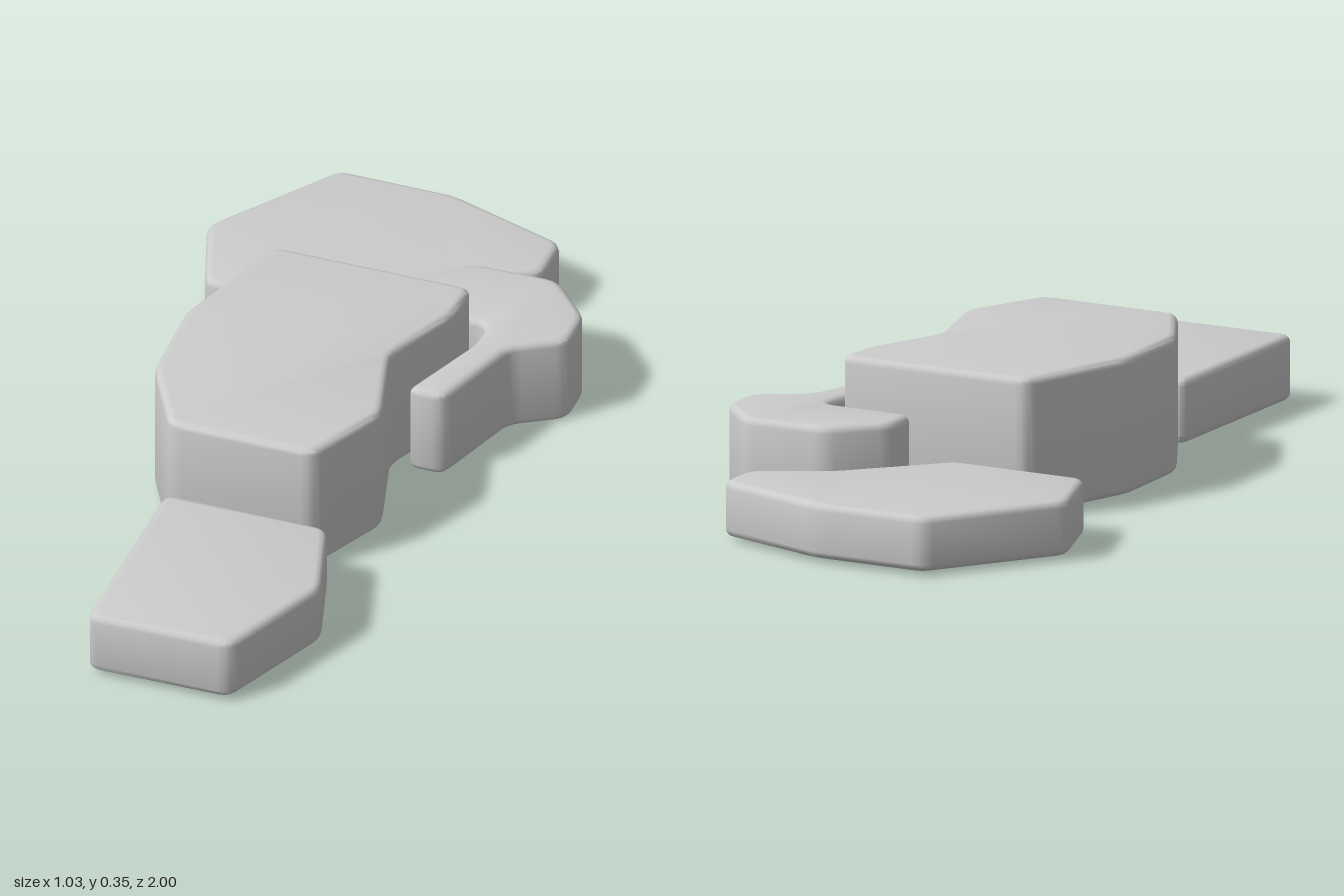
import * as THREE from 'three';
import { toCreasedNormals } from 'three/addons/utils/BufferGeometryUtils.js';

const BEVEL = 0.018;
const CORNER = 0.03;

// Closed outline from [x, z] points with softened corners
function roundedOutline(points) {
  const pts = points.map(([x, z]) => new THREE.Vector2(x, -z));
  const shape = new THREE.Shape();
  const n = pts.length;
  const toward = (a, b) => {
    const length = a.distanceTo(b);
    return a.clone().lerp(b, Math.min(CORNER, length * 0.4) / length);
  };
  pts.forEach((p, i) => {
    const start = toward(p, pts[(i + n - 1) % n]);
    const end = toward(p, pts[(i + 1) % n]);
    if (i === 0) shape.moveTo(start.x, start.y);
    else shape.lineTo(start.x, start.y);
    shape.quadraticCurveTo(p.x, p.y, end.x, end.y);
  });
  shape.closePath();
  return shape;
}

// Upright slab with rounded top and bottom edges, from y = bottom to y = top
function slab(name, points, bottom, top, material) {
  const geometry = new THREE.ExtrudeGeometry(roundedOutline(points), {
    depth: top - bottom - 2 * BEVEL,
    bevelEnabled: true,
    bevelThickness: BEVEL,
    bevelSize: BEVEL,
    bevelOffset: -BEVEL,
    bevelSegments: 3,
    curveSegments: 3,
  });
  geometry.rotateX(-Math.PI / 2);
  geometry.translate(0, bottom + BEVEL, 0);
  const mesh = new THREE.Mesh(toCreasedNormals(geometry, 0.6), material);
  mesh.name = name;
  return mesh;
}

export function createModel() {
  const group = new THREE.Group();
  group.name = 'stoneSlabs';
  const material = new THREE.MeshStandardMaterial({ color: 0xcccccc });

  // Low wide slab at the back
  group.add(slab('backSlab', [
    [-0.3, -1], [0, -1], [0.31, -0.9], [0.31, -0.77],
    [0.13, -0.67], [-0.08, -0.445], [-0.44, -0.445], [-0.52, -0.675],
  ], 0.01, 0.148, material));

  // Hooked slab with a narrow tail beside the main block
  group.add(slab('hookSlab', [
    [0.18, -0.63], [0.4, -0.635], [0.512, -0.515], [0.512, -0.4],
    [0.39, -0.325], [0.312, -0.075], [0.215, -0.075], [0.305, -0.32],
    [0.305, -0.4], [0.063, -0.4], [0.063, -0.51],
  ], 0, 0.237, material));

  // Tall main block, notched on its left side
  group.add(slab('mainBlock', [
    [-0.235, -0.375], [0.275, -0.378], [0.27, -0.26], [0.185, -0.05],
    [0.253, 0.19], [0.155, 0.41], [-0.215, 0.41], [-0.33, 0.2],
    [-0.34, -0.05],
  ], 0.01, 0.352, material));

  // Small five-sided slab at the front
  group.add(slab('frontSlab', [
    [-0.208, 0.452], [0.21, 0.45], [0.283, 0.69], [0.16, 0.995],
    [-0.205, 1],
  ], 0.012, 0.174, material));

  return group;
}
